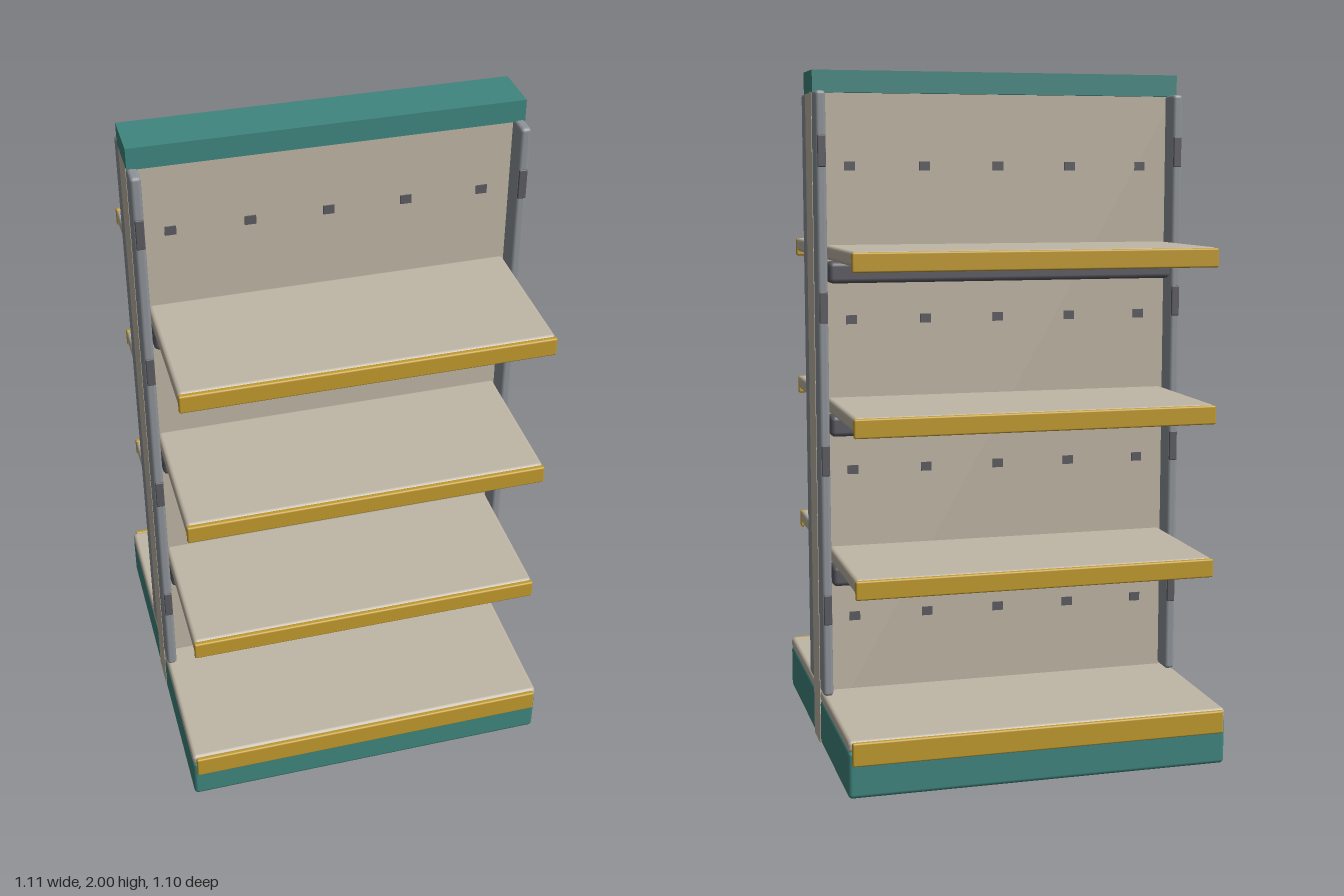
import * as THREE from 'three';
import { RoundedBoxGeometry } from 'three/addons/geometries/RoundedBoxGeometry.js';

function material(name, color) {
  const m = new THREE.MeshStandardMaterial({ color });
  m.name = name;
  return m;
}

export function createModel() {
  const beige = material('beige', 0xbfb6a5);
  const teal = material('teal', 0x40867f);
  const yellow = material('yellow', 0xc29b2e);
  const grey = material('grey', 0x8f9499);
  const dark = material('darkGrey', 0x5c5b62);

  // Box given by its [min, max] range on each axis; r rounds the edges
  function box(parent, name, mat, [x0, x1], [y0, y1], [z0, z1], r = 0) {
    const w = x1 - x0, h = y1 - y0, d = z1 - z0;
    const geo = r ? new RoundedBoxGeometry(w, h, d, 2, r) : new THREE.BoxGeometry(w, h, d);
    const mesh = new THREE.Mesh(geo, mat);
    mesh.name = name;
    mesh.position.set((x0 + x1) / 2, (y0 + y1) / 2, (z0 + z1) / 2);
    parent.add(mesh);
  }

  const model = new THREE.Group();
  model.name = 'doubleSidedShelving';
  const W = 0.554, P = 0.056;

  // Central panel and top cap
  box(model, 'centrePanel', beige, [-W, W], [0, 1.94], [-P, P]);
  box(model, 'topCap', teal, [-W, W], [1.937, 2], [-0.077, 0.077]);

  function buildSide(name) {
    const side = new THREE.Group();
    side.name = name;

    // Plinth, bottom deck and its price rail
    box(side, 'plinth', teal, [-W, W], [0.004, 0.14], [P, 0.538], 0.012);
    box(side, 'baseDeck', beige, [-W, W], [0.136, 0.17], [P, 0.538], 0.012);
    box(side, 'basePriceRail', yellow, [-0.544, 0.544], [0.1, 0.167], [0.536, 0.551], 0.005);

    // Uprights with slot plates
    for (const s of [-1, 1]) {
      const span = (a, b) => (s > 0 ? [a, b] : [-b, -a]);
      box(side, 'upright', grey, span(0.524, W), [0.17, 1.94], [P, 0.131], 0.01);
      for (let i = 0; i < 4; i++) {
        const y = 0.433 + i * 0.446;
        box(side, 'uprightSlot', dark, span(0.526, 0.55), [y - 0.045, y + 0.045], [0.127, 0.135], 0.003);
      }
    }

    // Shelves with price rails and support bars
    for (let i = 0; i < 3; i++) {
      const y = 0.61 + i * 0.446;
      box(side, 'shelf', beige, [-0.522, 0.522], [y - 0.042, y], [P, 0.495], 0.012);
      box(side, 'shelfPriceRail', yellow, [-0.522, 0.522], [y - 0.056, y - 0.002], [0.491, 0.507], 0.005);
      box(side, 'supportBar', dark, [-0.522, 0.522], [y - 0.108, y - 0.046], [P, 0.135], 0.014);
    }

    // Small square holes on the panel
    for (let row = 0; row < 4; row++) {
      for (let col = -2; col <= 2; col++) {
        const x = col * 0.2225, y = 0.391 + row * 0.446;
        box(side, 'panelHole', dark, [x - 0.016, x + 0.016], [y - 0.013, y + 0.013], [P - 0.003, P + 0.004]);
      }
    }
    return side;
  }

  const front = buildSide('frontSide');
  const back = buildSide('backSide');
  back.rotation.y = Math.PI;
  model.add(front, back);
  return model;
}
